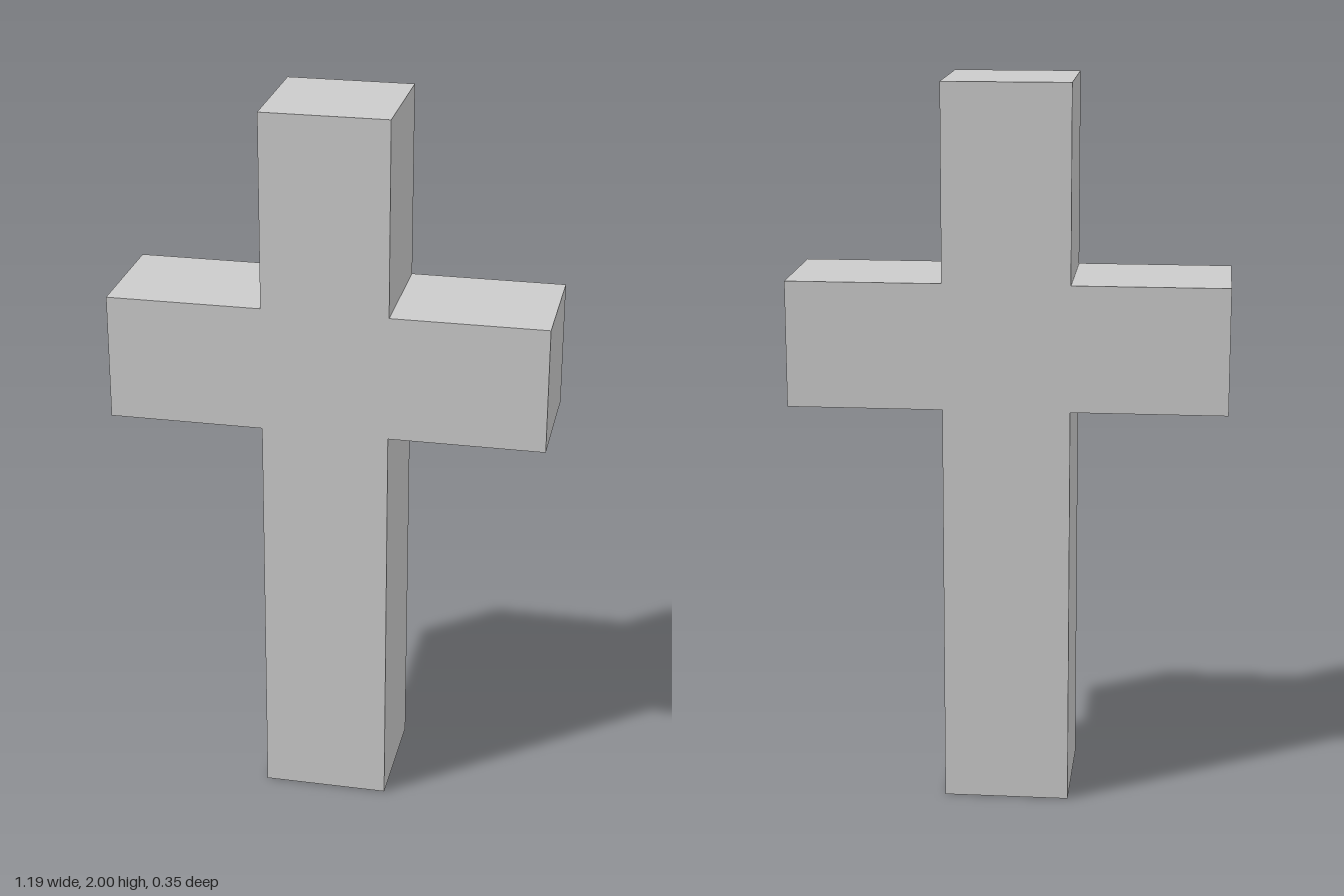
import * as THREE from 'three';

const HALF = 0.173;             // half thickness of every beam
const ARM = 0.597;              // reach of each arm
const ARM_BOTTOM = 1.12, ARM_TOP = 1.466, HEIGHT = 2;

export function createModel() {
  const group = new THREE.Group();
  group.name = 'cross';

  // Right half of the outline, bottom to top, then mirrored for the left half
  const half = [
    [HALF, 0], [HALF, ARM_BOTTOM], [ARM, ARM_BOTTOM],
    [ARM, ARM_TOP], [HALF, ARM_TOP], [HALF, HEIGHT],
  ];
  const mirrored = half.map(([x, y]) => [-x, y]).reverse();
  const outline = new THREE.Shape([...half, ...mirrored].map(([x, y]) => new THREE.Vector2(x, y)));

  // One solid body: post and crossbar share flush front and back faces
  const geometry = new THREE.ExtrudeGeometry(outline, { depth: 2 * HALF, bevelEnabled: false });
  geometry.translate(0, 0, -HALF);

  const body = new THREE.Mesh(
    geometry,
    new THREE.MeshStandardMaterial({ color: 0xcccccc, flatShading: true }),
  );
  body.name = 'postAndCrossbar';
  group.add(body);
  return group;
}
